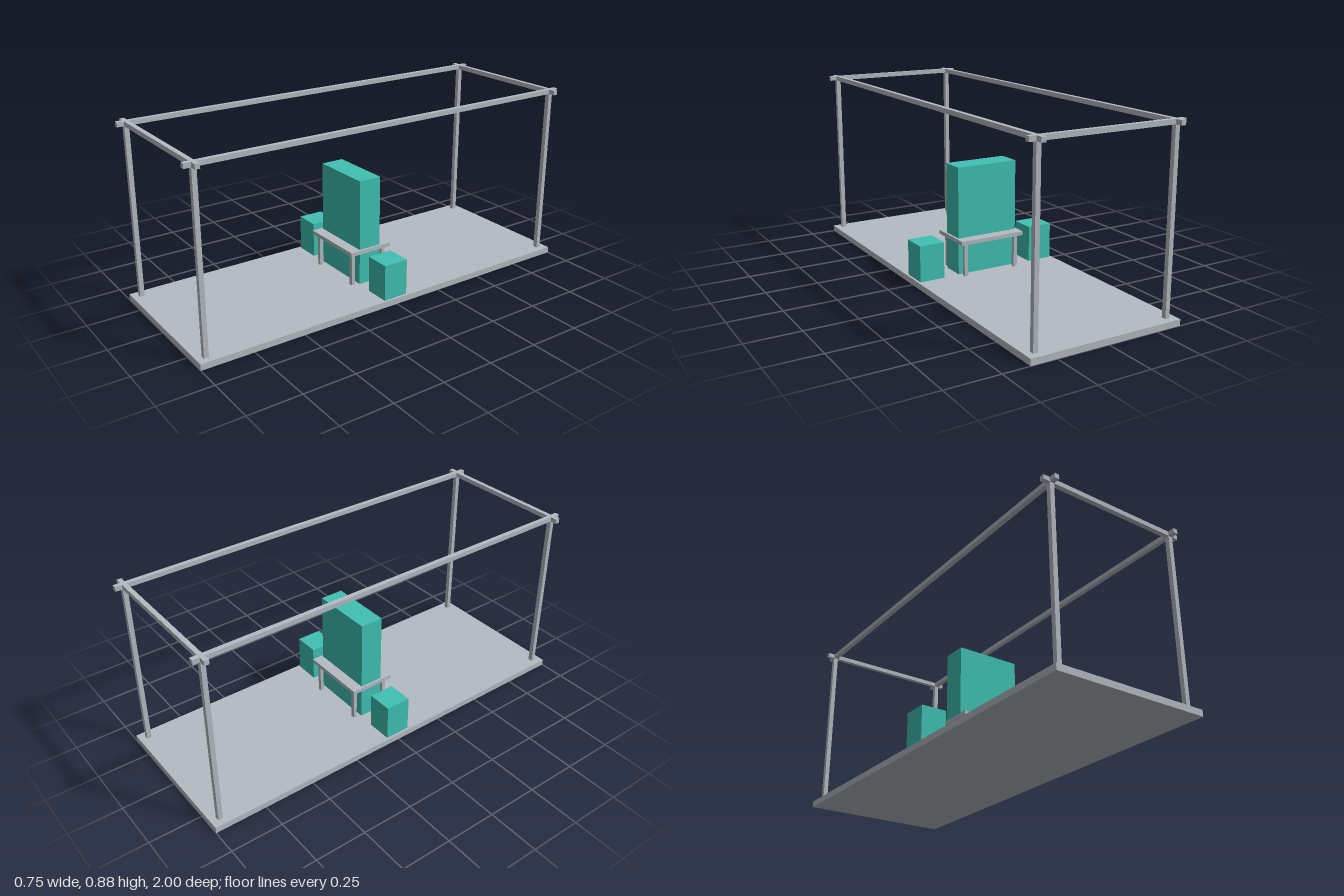
import * as THREE from 'three';

export function createModel() {
  const group = new THREE.Group();
  const grey = new THREE.MeshStandardMaterial({ color: 0xb4bbc3 });
  grey.name = 'grey';
  const teal = new THREE.MeshStandardMaterial({ color: 0x40c1b3 });
  teal.name = 'teal';

  // Box given by its size, centre x and z, and the height of its underside
  function box(name, material, w, h, d, x, y, z) {
    const mesh = new THREE.Mesh(new THREE.BoxGeometry(w, h, d), material);
    mesh.name = name;
    mesh.position.set(x, y + h / 2, z);
    group.add(mesh);
  }

  const bar = 0.022;
  const floorTop = 0.03;
  const frameTop = 0.875;
  const postX = 0.331;
  const postZ = 0.957;

  // Floor slab
  box('floor', grey, 0.748, floorTop, 2, 0, 0, 0);

  // Open frame: corner posts with long and cross beams that overshoot them
  for (const s of [-1, 1]) {
    for (const t of [-1, 1]) {
      box('post', grey, bar, frameTop - bar - floorTop, bar, s * postX, floorTop, t * postZ);
    }
    box('longBeam', grey, bar, bar, 2, s * postX, frameTop - bar, 0);
    box('crossBeam', grey, 0.748, bar, bar, 0, frameTop - bar, s * postZ);
  }

  // Table with four legs
  box('tableTop', grey, 0.336, 0.019, 0.224, 0, 0.189, 0);
  for (const s of [-1, 1]) {
    for (const t of [-1, 1]) {
      box('tableLeg', grey, 0.018, 0.189 - floorTop, 0.018, s * 0.137, floorTop, t * 0.087);
    }
  }

  // Tall block through the table, and a low block at each side
  box('tallBlock', teal, 0.314, 0.531, 0.115, 0, 0.02, 0);
  for (const s of [-1, 1]) {
    box('sideBlock', teal, 0.125, 0.185, 0.125, s * 0.3, 0.02, 0);
  }

  return group;
}
